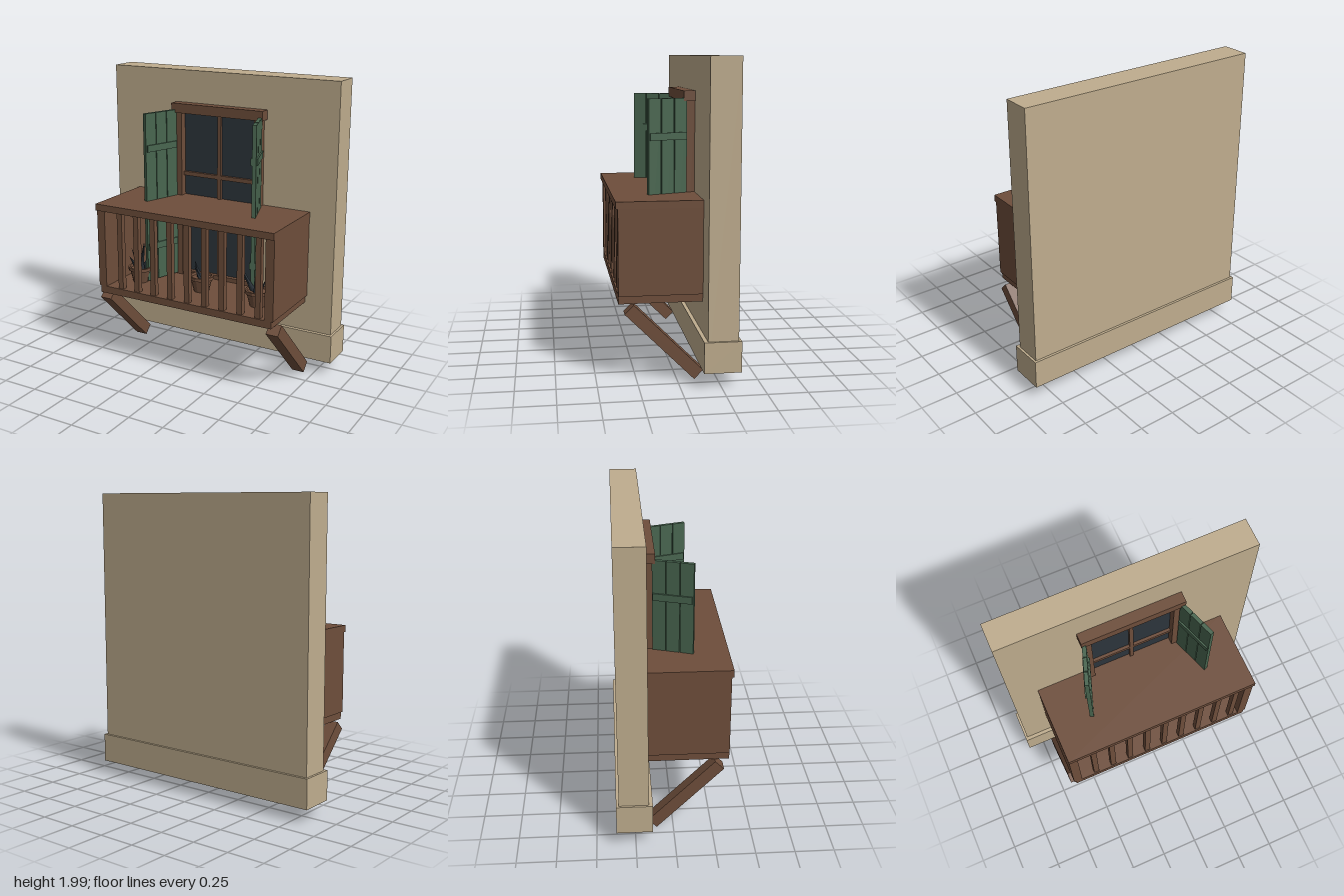
import * as THREE from 'three';

const mat = (name, color) => {
  const m = new THREE.MeshStandardMaterial({ color });
  m.name = name;
  return m;
};

export function createModel() {
  const plaster = mat('plaster', 0xbfad8e);
  const wood = mat('brown wood', 0x6e4e3b);
  const green = mat('shutter green', 0x48654f);
  const dark = mat('dark glass and leaf', 0x2d353c);
  const root = new THREE.Group();
  root.name = 'balconyWindow';

  const add = (parent, name, geometry, material) => {
    const mesh = new THREE.Mesh(geometry, material);
    mesh.name = name;
    parent.add(mesh);
    return mesh;
  };
  // Box given by its limits on each axis
  const box = (parent, name, material, [x0, x1], [y0, y1], [z0, z1]) => {
    const mesh = add(parent, name, new THREE.BoxGeometry(x1 - x0, y1 - y0, z1 - z0), material);
    mesh.position.set((x0 + x1) / 2, (y0 + y1) / 2, (z0 + z1) / 2);
    return mesh;
  };
  const group = (name) => {
    const g = new THREE.Group();
    g.name = name;
    root.add(g);
    return g;
  };

  // Wall and plinth
  box(root, 'wall', plaster, [-0.85, 0.85], [0.12, 2], [-0.355, -0.165]);
  box(root, 'plinth', plaster, [-0.865, 0.865], [0.1, 0.295], [-0.372, -0.14]);

  // Window
  const win = group('window');
  box(win, 'glass', dark, [-0.28, 0.28], [0.57, 1.72], [-0.168, -0.16]);
  for (const s of [-1, 1]) {
    const x = s * 0.302;
    box(win, 'jamb', wood, [x - 0.024, x + 0.024], [0.545, 1.72], [-0.165, -0.11]);
  }
  box(win, 'lintel', wood, [-0.347, 0.347], [1.715, 1.78], [-0.165, -0.092]);
  box(win, 'sill', wood, [-0.28, 0.28], [0.545, 0.575], [-0.165, -0.13]);
  box(win, 'mullion', wood, [-0.013, 0.013], [0.575, 1.715], [-0.162, -0.14]);
  box(win, 'crossbar', wood, [-0.28, 0.28], [1.272, 1.3], [-0.162, -0.14]);

  // Open shutters: three planks and two battens each, swung out on the jambs
  for (const s of [-1, 1]) {
    const shutter = group(s > 0 ? 'leftShutter' : 'rightShutter');
    shutter.position.set(s * 0.325, 0, -0.108);
    shutter.rotation.y = s * 0.33;
    for (let i = 0; i < 3; i++) {
      const z = i * 0.091;
      box(shutter, 'plank', green, [-0.013, 0.013], [0.555, 1.735], [z, z + 0.086]);
    }
    for (const y of [0.802, 1.497]) {
      box(shutter, 'batten', green, [-0.023, 0.023], [y - 0.023, y + 0.023], [0.005, 0.26]);
    }
  }

  // Balcony: floor, solid sides, top slab and front balusters
  const balcony = group('balcony');
  box(balcony, 'floor', wood, [-0.655, 0.655], [0.495, 0.545], [-0.165, 0.36]);
  box(balcony, 'topSlab', wood, [-0.67, 0.67], [1.087, 1.133], [-0.165, 0.373]);
  for (const s of [-1, 1]) {
    const x = s * 0.638;
    box(balcony, 'sidePanel', wood, [x - 0.03, x + 0.03], [0.545, 1.087], [-0.165, 0.36]);
  }
  for (let i = 0; i < 9; i++) {
    const x = -0.493 + i * 0.131;
    box(balcony, 'baluster', wood, [x - 0.019, x + 0.019], [0.545, 1.087], [0.315, 0.352]);
  }

  // Diagonal braces under the balcony
  for (const s of [-1, 1]) {
    const brace = add(root, 'brace', new THREE.BoxGeometry(0.085, 0.08, 0.612), wood);
    brace.position.set(s * 0.645, 0.25, 0.08);
    brace.rotation.x = -Math.PI / 4;
  }

  // Potted plants: tapered pot with rim, and pointed leaves [dx, height, dz]
  const potProfile = [[0, 0], [0.053, 0], [0.074, 0.088], [0.085, 0.088], [0.085, 0.11],
    [0.072, 0.11], [0.069, 0.093], [0, 0.093]].map(([r, y]) => new THREE.Vector2(r, y));
  const up = new THREE.Vector3(0, 1, 0);
  const plants = [
    [-0.465, 0.15, [[0.04, 0.21, 0.02], [0.08, 0.17, -0.03], [-0.04, 0.16, 0.03], [0, 0.18, -0.05], [-0.02, 0.12, 0.08]]],
    [0, 0.1, [[-0.03, 0.13, 0.02], [0.01, 0.13, -0.04], [-0.01, 0.11, 0.06], [0.04, 0.1, 0.01]]],
    [0.455, 0.15, [[-0.1, 0.18, 0.02], [0.03, 0.23, 0], [0.08, 0.17, 0.03], [-0.03, 0.15, -0.07], [0.02, 0.14, 0.08]]],
  ];
  for (const [x, z, leaves] of plants) {
    const plant = group('pottedPlant');
    plant.position.set(x, 0.545, z);
    add(plant, 'pot', new THREE.LatheGeometry(potProfile, 12).toNonIndexed(), wood)
      .geometry.computeVertexNormals();
    leaves.forEach(([dx, h, dz], i) => {
      const tip = new THREE.Vector3(dx, h, dz);
      const geometry = new THREE.ConeGeometry(0.024, tip.length(), 4);
      geometry.scale(1, 1, 0.35);
      geometry.translate(0, tip.length() / 2, 0);
      geometry.rotateY(i * 0.9);
      const leaf = add(plant, 'leaf', geometry, dark);
      leaf.position.set(dx * 0.25, 0.09, dz * 0.25);
      leaf.quaternion.setFromUnitVectors(up, tip.normalize());
    });
  }
  return root;
}
